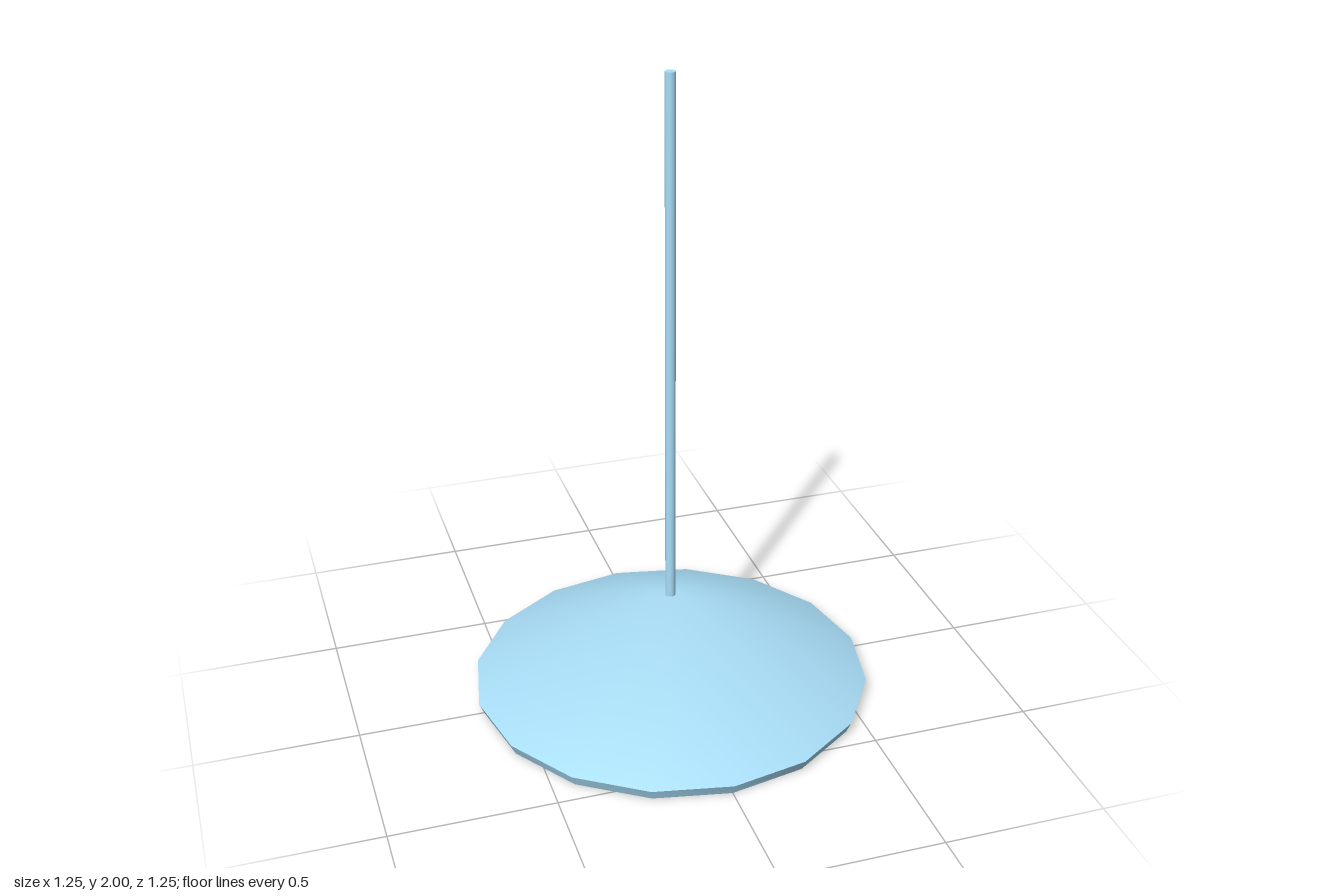
import * as THREE from 'three';
import { mergeVertices } from 'three/addons/utils/BufferGeometryUtils.js';

const SIDES = 16;

// Smooth surface of revolution from [radius, height] pairs:
// listed bottom to top it faces outwards, top to bottom it faces inwards
function turned(name, profile, material) {
  const lathe = new THREE.LatheGeometry(profile.map(([r, y]) => new THREE.Vector2(r, y)), SIDES);
  lathe.deleteAttribute('uv');
  lathe.deleteAttribute('normal');
  const geometry = mergeVertices(lathe);
  geometry.computeVertexNormals();
  const mesh = new THREE.Mesh(geometry, material);
  mesh.name = name;
  return mesh;
}

export function createModel() {
  const group = new THREE.Group();
  group.name = 'pendantLamp';

  const blue = new THREE.MeshStandardMaterial({ color: 0xa9def8 });
  const cream = new THREE.MeshStandardMaterial({ color: 0xfbf6cf });

  // Solid shade: outer cone, bevelled rim and a parallel inner cone meeting in hard edges
  const shade = new THREE.Group();
  shade.name = 'shade';
  shade.add(
    turned('shadeOuter', [[0.625, 0.035], [0, 0.328]], blue),
    turned('shadeRim', [[0.61, 0], [0.625, 0.035]], blue),
    turned('shadeInner', [[0, 0.29], [0.61, 0]], blue)
  );
  group.add(shade);

  // Hanging rod
  const rod = new THREE.Mesh(new THREE.CylinderGeometry(0.016, 0.016, 1.69, SIDES), blue);
  rod.name = 'rod';
  rod.position.y = 1.155;
  group.add(rod);

  // Egg-shaped bulb on a short neck that runs up into the shade
  const bulbProfile = [
    [0, 0.055], [0.032, 0.061], [0.058, 0.08], [0.076, 0.108], [0.082, 0.14],
    [0.077, 0.172], [0.063, 0.2], [0.043, 0.224], [0.036, 0.236],
    [0.039, 0.25], [0.039, 0.28], [0, 0.285],
  ];
  group.add(turned('bulb', bulbProfile, cream));

  return group;
}
